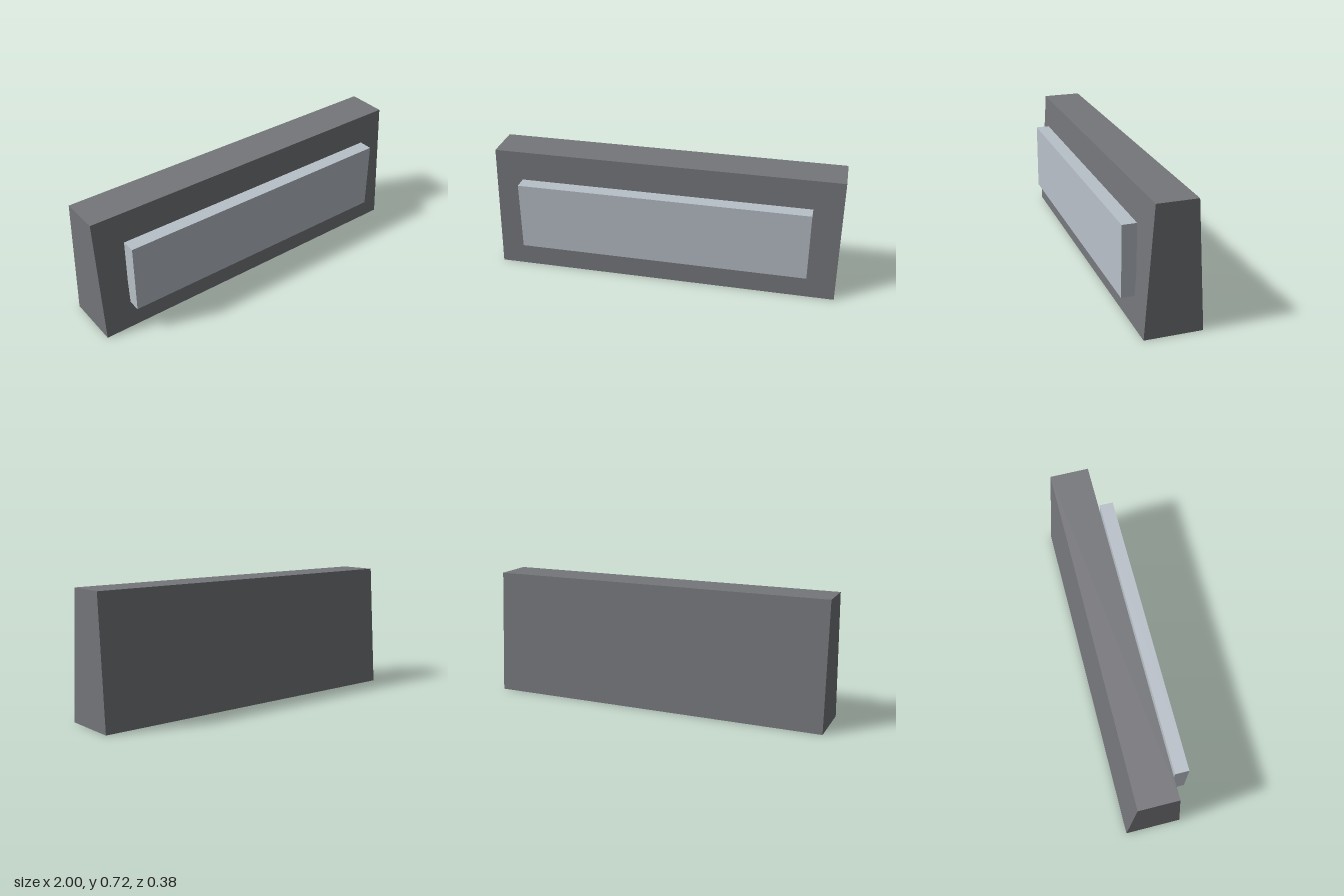
import * as THREE from 'three';

export function createModel() {
  const group = new THREE.Group();
  const stone = new THREE.MeshStandardMaterial({ color: 0x75767a });
  stone.name = 'dark grey stone';
  const pale = new THREE.MeshStandardMaterial({ color: 0xb9c1c9 });
  pale.name = 'pale blue grey';

  // Tapered block: side profile (z, y) extruded along the width
  const profile = new THREE.Shape([
    [0.13, 0], [0.083, 0.722], [-0.141, 0.722], [-0.191, 0],
  ].map(([z, y]) => new THREE.Vector2(z, y)));
  const bodyGeometry = new THREE.ExtrudeGeometry(profile, { depth: 2, bevelEnabled: false });
  bodyGeometry.rotateY(-Math.PI / 2).translate(1, 0, 0);
  const body = new THREE.Mesh(bodyGeometry, stone);
  body.name = 'taperedBlock';
  group.add(body);

  // Upright panel on the front face
  const panel = new THREE.Mesh(new THREE.BoxGeometry(1.672, 0.4, 0.08), pale);
  panel.name = 'frontPanel';
  panel.position.set(0, 0.362, 0.151);
  group.add(panel);

  return group;
}
